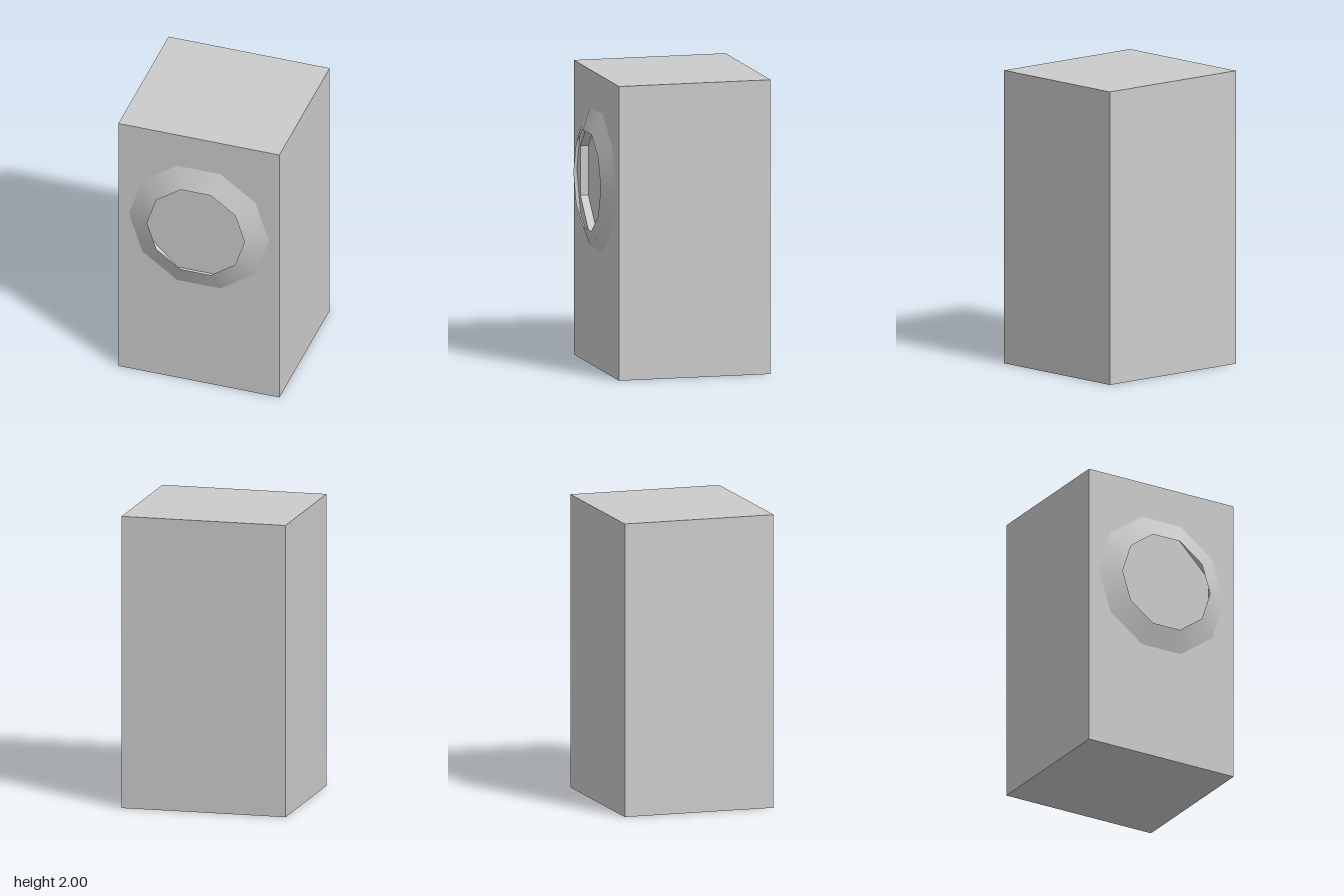
import * as THREE from 'three';

const WIDTH = 1.14, HEIGHT = 2, BACK = -0.56, FRONT = 0.495, FLOOR = 0.44;
const CENTRE_Y = 1.275;

function polygonPath(radius, sides, cy) {
  const points = [];
  for (let i = 0; i < sides; i++) {
    const a = ((i + 0.5) / sides) * Math.PI * 2;
    points.push(new THREE.Vector2(Math.cos(a) * radius, cy + Math.sin(a) * radius));
  }
  return new THREE.Path(points);
}

export function createModel() {
  const group = new THREE.Group();
  const add = (name, geometry, side = THREE.FrontSide) => {
    const mesh = new THREE.Mesh(geometry, new THREE.MeshStandardMaterial({ color: 0xcccccc, side }));
    mesh.name = name;
    group.add(mesh);
    return mesh;
  };

  // Solid cabinet behind the recess floor
  const depth = FLOOR - BACK;
  add('cabinet', new THREE.BoxGeometry(WIDTH, HEIGHT, depth))
    .position.set(0, HEIGHT / 2, BACK + depth / 2);

  // Front panel with an eight-sided recess
  const w = WIDTH / 2;
  const panel = new THREE.Shape([
    new THREE.Vector2(-w, 0), new THREE.Vector2(w, 0),
    new THREE.Vector2(w, HEIGHT), new THREE.Vector2(-w, HEIGHT),
  ]);
  panel.holes.push(polygonPath(0.438, 8, CENTRE_Y));
  add('frontPanel', new THREE.ExtrudeGeometry(panel, { depth: FRONT - FLOOR, bevelEnabled: false }))
    .position.z = FLOOR;

  // Sloping ten-sided rim around the opening
  const rimDepth = 0.065;
  const rim = new THREE.CylinderGeometry(0.345, 0.495, rimDepth, 10, 1, true, Math.PI / 2);
  rim.rotateX(Math.PI / 2);
  add('rim', rim, THREE.DoubleSide).position.set(0, CENTRE_Y, FRONT + rimDepth / 2);

  return group;
}
